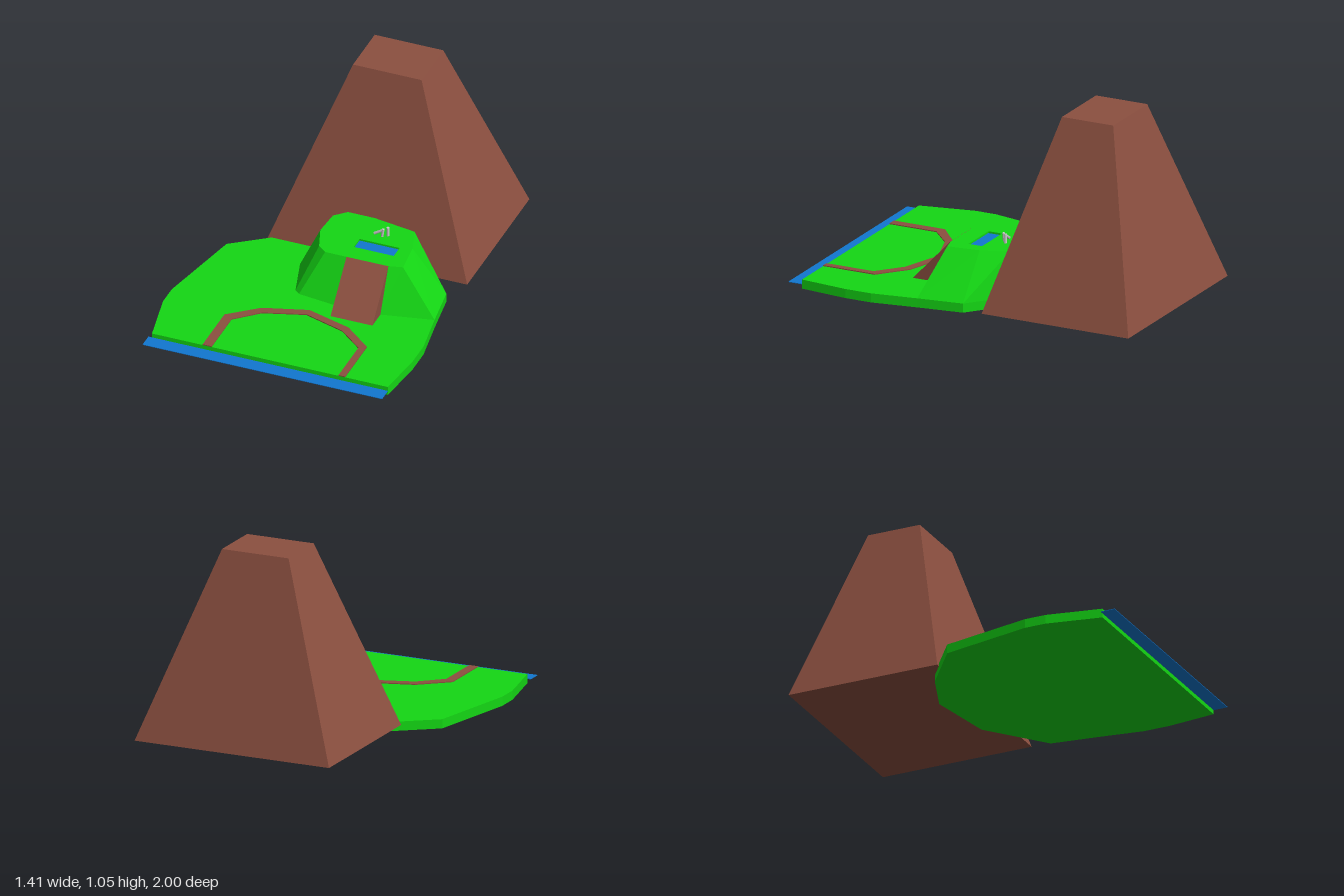
import * as THREE from 'three';

const GREEN = 0x14d714, BROWN = 0x8c5040, BLUE = 0x1177d0, GREY = 0xcccccc;

const material = (color) => new THREE.MeshStandardMaterial({ color, flatShading: true });

// Solid between two [x, z] loops (counter-clockwise from above) at heights y0 and y1.
function loft(name, color, low, y0, high, y1, { top = true, bottom = true, hole = [] } = {}) {
  const pos = [];
  const put = (p, y) => pos.push(p[0], y, p[1]);
  const flat = (loop) => loop.map(([x, z]) => new THREE.Vector2(x, -z));
  low.forEach((a, i) => {
    const j = (i + 1) % low.length;
    put(a, y0); put(low[j], y0); put(high[j], y1);
    put(a, y0); put(high[j], y1); put(high[i], y1);
  });
  if (top) {
    const all = high.concat(hole);
    const faces = THREE.ShapeUtils.triangulateShape(flat(high), hole.length ? [flat(hole)] : []);
    faces.forEach((f) => f.forEach((k) => put(all[k], y1)));
  }
  if (bottom) {
    const faces = THREE.ShapeUtils.triangulateShape(flat(low), []);
    faces.forEach(([a, b, c]) => [a, c, b].forEach((k) => put(low[k], y0)));
  }
  const geo = new THREE.BufferGeometry();
  geo.setAttribute('position', new THREE.Float32BufferAttribute(pos, 3));
  geo.computeVertexNormals();
  const mesh = new THREE.Mesh(geo, material(color));
  mesh.name = name;
  return mesh;
}

const rect = (x0, x1, z0, z1) => [[x0, z1], [x1, z1], [x1, z0], [x0, z0]];

// Straight round bar between two points.
function bar(name, from, to, radius) {
  const a = new THREE.Vector3(...from), b = new THREE.Vector3(...to);
  const dir = b.clone().sub(a);
  const mesh = new THREE.Mesh(new THREE.CylinderGeometry(radius, radius, dir.length(), 8), material(GREY));
  mesh.position.copy(a).add(b).multiplyScalar(0.5);
  mesh.quaternion.setFromUnitVectors(new THREE.Vector3(0, 1, 0), dir.normalize());
  mesh.name = name;
  return mesh;
}

export function createModel() {
  const model = new THREE.Group();
  model.name = 'islandScene';

  // Flat ground slab
  const ground = [
    [-0.65, 0.92], [0.675, 0.92], [0.705, 0.65], [0.705, 0.5], [0.665, 0.25], [0.63, 0],
    [0.32, -0.25], [-0.06, -0.31], [-0.32, -0.21], [-0.605, 0], [-0.71, 0.5], [-0.71, 0.62],
  ];
  model.add(loft('ground', GREEN, ground, 0, ground, 0.05));

  // Tall truncated mountain
  model.add(loft('mountain', BROWN,
    rect(-0.435, 0.69, -1, -0.14), 0.035, rect(-0.065, 0.32, -0.72, -0.42), 1.05));

  // Faceted hill with a shallow pool recess in its top
  const hillBase = [
    [-0.18, 0.03], [-0.11, 0.265], [-0.08, 0.29], [0.15, 0.32], [0.38, 0.31], [0.665, 0.25],
    [0.63, 0], [0.47, -0.13], [0.32, -0.25], [-0.06, -0.31], [-0.18, -0.2],
  ];
  const hillTop = [
    [-0.07, 0.02], [-0.02, 0.16], [0.03, 0.2], [0.15, 0.2], [0.38, 0.2], [0.46, 0.18],
    [0.44, 0], [0.39, -0.15], [0.15, -0.19], [0, -0.19], [-0.06, -0.13],
  ];
  const rim = rect(0.15, 0.375, 0.02, 0.1).reverse();
  model.add(loft('hill', GREEN, hillBase, 0.05, hillTop, 0.285, { bottom: false, hole: rim }));
  model.add(loft('poolWalls', GREEN, rim, 0.265, rim, 0.285, { top: false, bottom: false }));
  const pool = rect(0.15, 0.375, 0.02, 0.1);
  model.add(loft('poolWater', BLUE, pool, 0.265, pool, 0.275));

  // Ramp up to the hill top
  model.add(loft('ramp', BROWN,
    rect(0.15, 0.385, 0.199, 0.42), 0.05, rect(0.15, 0.385, 0.199, 0.2), 0.285));

  // Curved path on the ground: outer edge, then back along the inner edge
  const outer = [[-0.365, 0.92], [-0.365, 0.62], [-0.21, 0.49], [0.03, 0.415], [0.28, 0.49], [0.435, 0.62], [0.435, 0.92]];
  const inner = [[-0.315, 0.92], [-0.315, 0.645], [-0.19, 0.53], [0.03, 0.458], [0.26, 0.53], [0.398, 0.645], [0.398, 0.92]];
  const path = inner.concat(outer.reverse());
  model.add(loft('path', BROWN, path, 0.05, path, 0.055));

  // Strip of water along the front edge
  const shore = rect(-0.67, 0.675, 0.92, 1);
  model.add(loft('shoreWater', BLUE, shore, 0.023, shore, 0.026));

  // Small grey fixture beside the pool
  const fixture = new THREE.Group();
  fixture.name = 'poolFixture';
  fixture.add(
    bar('post', [0.275, 0.283, -0.065], [0.275, 0.335, -0.065], 0.008),
    bar('leaningPost', [0.25, 0.283, -0.045], [0.258, 0.333, -0.045], 0.007),
    bar('spout', [0.205, 0.29, -0.052], [0.255, 0.322, -0.052], 0.008),
  );
  model.add(fixture);
  return model;
}
